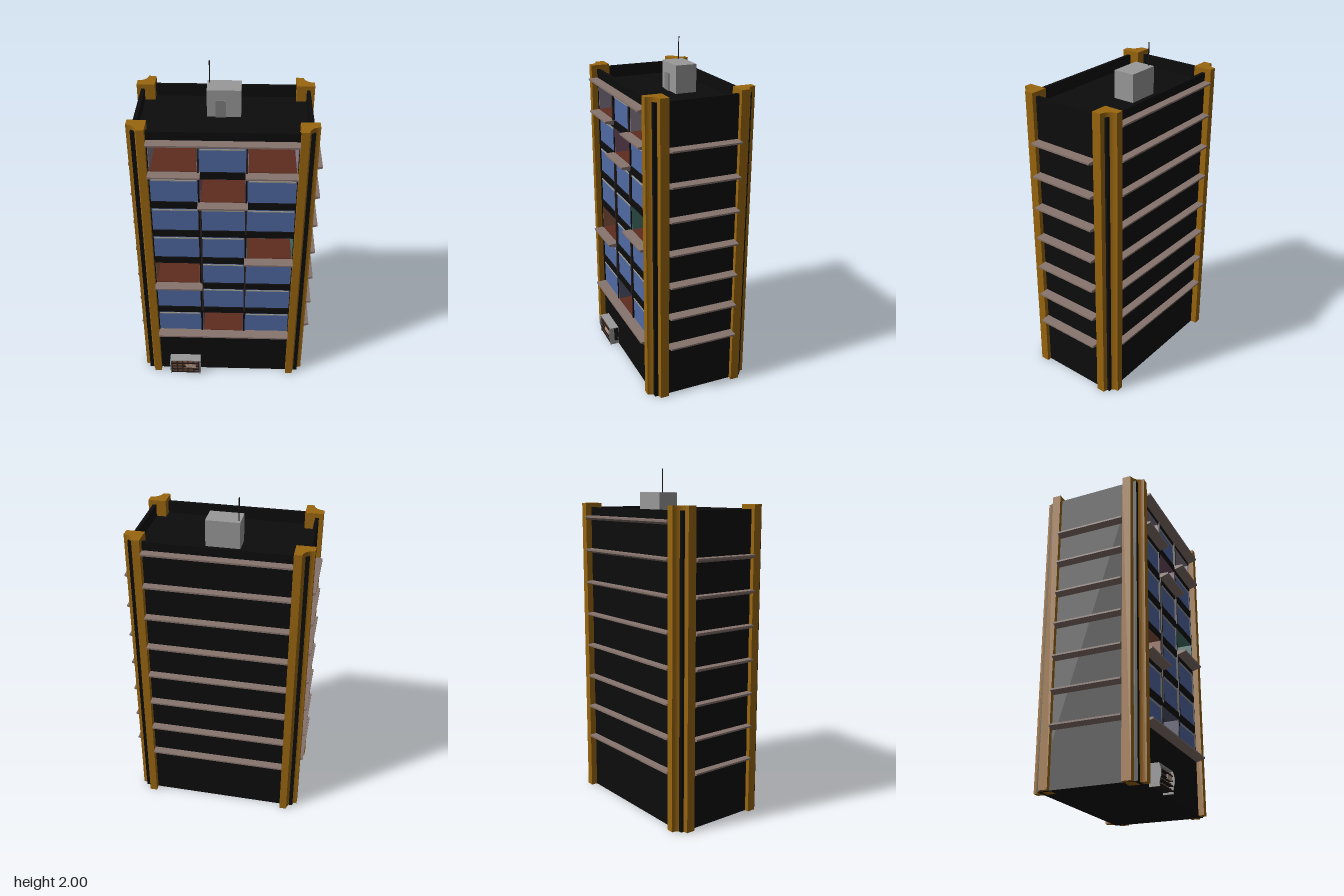
import * as THREE from 'three';

const mat = (color, side = THREE.FrontSide) => new THREE.MeshStandardMaterial({ color, side });
const M = {
  black: mat(0x0c0c0c), ochre: mat(0x99660f), ledge: mat(0x86736c), glass: mat(0x5069a3),
  rail: mat(0x9a9a94), trim: mat(0x2c211d), grey: mat(0x999999), dark: mat(0x1c1614),
  floor: mat(0x5e2c1e), wood: mat(0x6b4636), paper: mat(0xb59a88),
};

// Body limits
const X0 = -0.495, X1 = 0.47, Z0 = -0.295, Z1 = 0.27, TOP = 1.78, DECK = 1.7, T = 0.02;
// Facade grid
const BAYS = [[-0.412, -0.15], [-0.14, 0.112], [0.122, 0.39]];
const ROWS = 7, PITCH = 0.198, ROW_H = 0.155;
const rowY = (r) => 0.345 + r * PITCH;
// Open rooms: row, bay -> wall colour
const ROOMS = { '0,1': 0x55566e, '2,0': 0x8a5640, '3,2': 0x46756c, '5,1': 0x785267, '6,0': 0x857b8b, '6,2': 0x8f8191 };

// Box given by its limits on each axis
function box(name, x0, x1, y0, y1, z0, z1, material) {
  const mesh = new THREE.Mesh(new THREE.BoxGeometry(x1 - x0, y1 - y0, z1 - z0), material);
  mesh.position.set((x0 + x1) / 2, (y0 + y1) / 2, (z0 + z1) / 2);
  mesh.name = name;
  return mesh;
}

// Corner column with a concave quarter-round outer corner
function column(x, z, sx, sz) {
  const w = 0.103, d = 0.112, r = 0.06, pts = [[0, 0], [w, 0]];
  for (let i = 0; i <= 10; i++) {
    const a = (i / 10) * Math.PI / 2;
    pts.push([w - r * Math.sin(a), d - r * Math.cos(a)]);
  }
  pts.push([0, d]);
  const shape = new THREE.Shape(pts.map(([u, v]) => new THREE.Vector2(x + sx * u, -(z + sz * v))));
  const geo = new THREE.ExtrudeGeometry(shape, { depth: 1.805, bevelEnabled: false });
  geo.rotateX(-Math.PI / 2);
  const mesh = new THREE.Mesh(geo, M.ochre);
  mesh.name = 'cornerColumn';
  return mesh;
}

// Wedge-shaped ledge projecting along its local +x, turned to face outward
function ledge(name, length, depth, x, y, z, angle) {
  const s = new THREE.Shape([[-0.01, -0.014], [0.01, -0.014], [depth, 0], [depth, 0.01], [-0.01, 0.013]]
    .map(([u, v]) => new THREE.Vector2(u, v)));
  const geo = new THREE.ExtrudeGeometry(s, { depth: length, bevelEnabled: false });
  geo.translate(0, 0, -length / 2);
  const mesh = new THREE.Mesh(geo, M.ledge);
  mesh.position.set(x, y, z);
  mesh.rotation.y = angle;
  mesh.name = name;
  return mesh;
}

function frontLedge(x0, x1, y) {
  return ledge('frontLedge', x1 - x0, 0.055, (x0 + x1) / 2, y, Z1, -Math.PI / 2);
}

function createBody() {
  const g = new THREE.Group();
  g.name = 'body';
  // Front wall pierced by every bay
  const wall = new THREE.Shape([[X0, 0], [X1, 0], [X1, TOP], [X0, TOP]].map((p) => new THREE.Vector2(...p)));
  for (let r = 0; r < ROWS; r++) {
    for (const [a, b] of BAYS) {
      const y = rowY(r), h = y + ROW_H;
      wall.holes.push(new THREE.Path([[a, y], [a, h], [b, h], [b, y]].map((p) => new THREE.Vector2(...p))));
    }
  }
  const front = new THREE.Mesh(new THREE.ExtrudeGeometry(wall, { depth: T, bevelEnabled: false }), M.black);
  front.position.z = Z1 - T;
  front.name = 'frontWall';
  g.add(
    front,
    box('backWall', X0, X1, 0, TOP, Z0, Z0 + T, M.black),
    box('rightWall', X0, X0 + T, 0, TOP, Z0, Z1 - T, M.black),
    box('leftWall', X1 - T, X1, 0, TOP, Z0, Z1 - T, M.black),
    box('roofDeck', X0 + T, X1 - T, DECK, DECK + 0.01, Z0 + T, Z1 - T, M.black),
    box('base', X0 + T, X1 - T, 0, 0.02, Z0 + T, Z1 - T, M.black),
  );
  return g;
}

// Room open to the front: coloured walls and ceiling, rust floor
function createRoom(a, b, y, color) {
  const g = new THREE.Group(), m = mat(color), h = y + ROW_H, z1 = Z1 - 0.004, z0 = z1 - 0.3, t = 0.004;
  g.name = 'openRoom';
  g.add(
    box('roomFloor', a, b, y, y + t, z0, z1, M.floor),
    box('roomCeiling', a, b, h - t, h, z0, z1, m),
    box('roomBack', a, b, y, h, z0 - t, z0, m),
    box('roomSide', a, a + t, y, h, z0, z1, m),
    box('roomSide', b - t, b, y, h, z0, z1, m),
  );
  return g;
}

// Glass pane with a pale blind rail near its top
function createWindow(a, b, y) {
  const g = new THREE.Group(), h = y + ROW_H;
  g.name = 'window';
  g.add(
    box('pane', a, b, y, h, Z1 - 0.016, Z1 - 0.008, M.glass),
    box('blindRail', a + 0.006, b - 0.006, h - 0.018, h - 0.011, Z1 - 0.009, Z1 - 0.003, M.rail),
  );
  return g;
}

// Small street stand: curved side panels, shelves and goods
function createStand() {
  const g = new THREE.Group();
  g.name = 'streetStand';
  const x0 = -0.355, x1 = -0.16;
  const side = new THREE.Shape();
  side.moveTo(0.265, 0);
  side.lineTo(0.328, 0);
  side.quadraticCurveTo(0.325, 0.03, 0.334, 0.05);
  side.quadraticCurveTo(0.342, 0.075, 0.326, 0.12);
  side.lineTo(0.265, 0.12);
  for (const x of [x0, x1 - 0.006]) {
    const geo = new THREE.ExtrudeGeometry(side, { depth: 0.006, bevelEnabled: false });
    geo.rotateY(-Math.PI / 2);
    const panel = new THREE.Mesh(geo, M.grey);
    panel.position.x = x + 0.006;
    panel.name = 'standSide';
    g.add(panel);
  }
  g.add(
    box('standTop', x0, x1, 0.116, 0.121, 0.265, 0.326, M.grey),
    box('standBack', x0, x1, 0.01, 0.116, 0.272, 0.3, M.dark),
    box('standNotice', -0.255, -0.19, 0.06, 0.085, 0.326, 0.331, M.paper),
  );
  for (let i = 0; i < 4; i++) {
    const y = 0.012 + i * 0.026;
    g.add(box('shelf', x0 + 0.006, x1 - 0.006, y, y + 0.005, 0.3, 0.328, M.dark));
    for (let k = 0; k < 5; k++) {
      const x = x0 + 0.014 + k * 0.035;
      g.add(box('goods', x, x + 0.026, y + 0.005, y + 0.015, 0.3, 0.322, M.wood));
    }
  }
  return g;
}

function createPenthouse() {
  const g = new THREE.Group();
  g.name = 'roofHouse';
  const mast = new THREE.Mesh(new THREE.CylinderGeometry(0.003, 0.003, 0.14, 8), M.dark);
  mast.position.set(-0.098, 1.93, -0.125);
  mast.name = 'antenna';
  g.add(
    box('roofHouseWalls', -0.11, 0.08, DECK, 1.87, -0.155, -0.028, M.grey),
    box('roofHouseDoor', -0.062, -0.005, DECK, 1.81, -0.028, -0.02, mat(0x808080)),
    mast,
  );
  return g;
}

export function createModel() {
  const model = new THREE.Group();
  model.name = 'apartmentBlock';
  model.add(createBody(), createPenthouse(), createStand());

  for (const [x, sx] of [[-0.417, -1], [0.393, 1]])
    for (const [z, sz] of [[0.192, 1], [-0.221, -1]]) model.add(column(x, z, sx, sz));

  // Front bays: glazed windows or open rooms with their own ledge
  for (let r = 0; r < ROWS; r++) {
    BAYS.forEach(([a, b], i) => {
      const color = ROOMS[`${r},${i}`];
      model.add(color === undefined ? createWindow(a, b, rowY(r)) : createRoom(a, b, rowY(r), color));
      if (color !== undefined && r > 0)
        model.add(frontLedge(Math.max(a - 0.012, -0.417), Math.min(b + 0.015, 0.393), rowY(r) - 0.012));
    });
  }
  for (const y of [0.333, 1.718]) model.add(frontLedge(-0.417, 0.393, y));

  // Slim mullions between bays
  for (const [x, y0, y1] of [[-0.137, 0.52, 1.32], [0.117, 0.52, 0.92], [0.117, 1.12, 1.32], [-0.145, 1.52, 1.7], [0.117, 1.52, 1.7]])
    model.add(box('mullion', x - 0.005, x + 0.005, y0, y1, Z1 - 0.01, Z1 + 0.006, M.trim));

  // Side and back ledges at every storey, back also at the roof line
  for (let r = 0; r <= ROWS; r++) {
    const y = 0.333 + r * PITCH;
    model.add(ledge('backLedge', 0.81, 0.045, -0.012, y, Z0, Math.PI / 2));
    if (r === ROWS) continue;
    model.add(ledge('leftLedge', 0.411, 0.06, X1, y, -0.015, 0));
    model.add(ledge('rightLedge', 0.411, 0.04, X0, y, -0.015, Math.PI));
  }
  return model;
}
